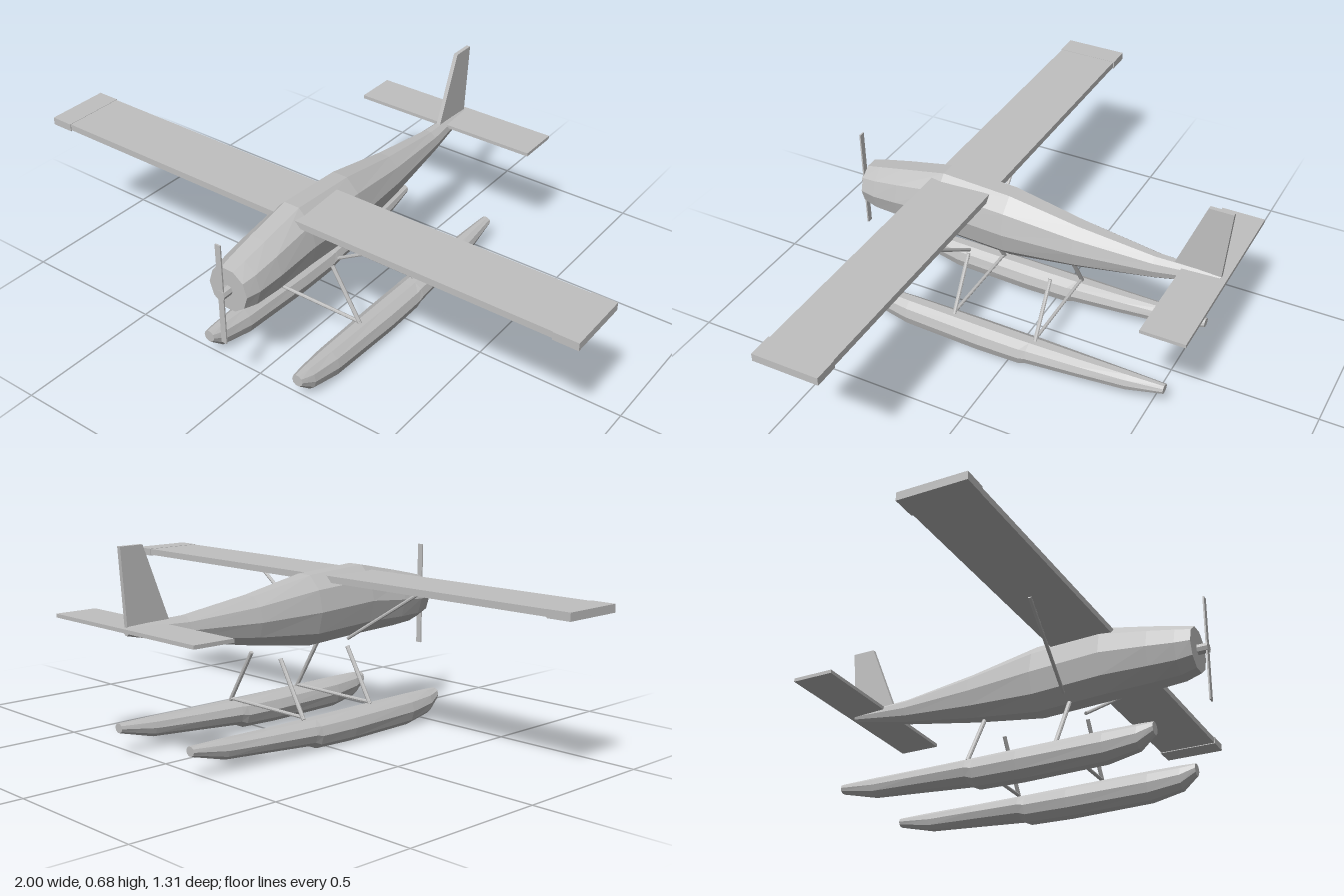
import * as THREE from 'three';

const SIDES = 10;

// Lofts ten-sided rings along z; each section is [z, top, bottom, halfWidth]
function loft(sections) {
  const pos = [];
  const index = [];
  for (const [z, top, bottom, half] of sections) {
    const cy = (top + bottom) / 2;
    const ry = (top - bottom) / 2 / Math.sin((72 * Math.PI) / 180);
    for (let i = 0; i < SIDES; i++) {
      const a = (i / SIDES) * Math.PI * 2;
      pos.push(Math.cos(a) * half, cy + Math.sin(a) * ry, z);
    }
  }
  const last = (sections.length - 1) * SIDES;
  for (let s = 0; s < last; s += SIDES) {
    for (let i = 0; i < SIDES; i++) {
      const j = (i + 1) % SIDES;
      index.push(s + i, s + j, s + SIDES + i, s + j, s + SIDES + j, s + SIDES + i);
    }
  }
  // End caps
  for (let i = 1; i < SIDES - 1; i++) {
    index.push(0, i + 1, i, last, last + i, last + i + 1);
  }
  // Sections run from tail (-z) to nose (+z), so the sides face outward
  const geo = new THREE.BufferGeometry();
  geo.setAttribute('position', new THREE.Float32BufferAttribute(pos, 3));
  geo.setIndex(index);
  const flat = geo.toNonIndexed();
  flat.computeVertexNormals();
  return flat;
}

// Round bar between two points
function bar(from, to, radius) {
  const a = new THREE.Vector3(...from);
  const dir = new THREE.Vector3(...to).sub(a);
  const geo = new THREE.CylinderGeometry(radius, radius, dir.length(), 8);
  const turn = new THREE.Quaternion().setFromUnitVectors(
    new THREE.Vector3(0, 1, 0), dir.clone().normalize());
  geo.applyQuaternion(turn);
  const mid = a.addScaledVector(dir, 0.5);
  return geo.translate(mid.x, mid.y, mid.z);
}

function block(x0, x1, y0, y1, z0, z1) {
  return new THREE.BoxGeometry(x1 - x0, y1 - y0, z1 - z0)
    .translate((x0 + x1) / 2, (y0 + y1) / 2, (z0 + z1) / 2);
}

export function createModel() {
  const model = new THREE.Group();
  model.name = 'floatplane';
  const grey = new THREE.MeshStandardMaterial({ color: 0xc0c0c0 });
  grey.name = 'light grey';
  grey.flatShading = true;

  const add = (name, geo) => {
    const mesh = new THREE.Mesh(geo, grey);
    mesh.name = name;
    model.add(mesh);
    return mesh;
  };

  // Fuselage, tail to nose
  add('fuselage', loft([
    [-0.635, 0.445, 0.415, 0.014],
    [-0.42, 0.45, 0.368, 0.038],
    [-0.16, 0.483, 0.325, 0.067],
    [0.08, 0.527, 0.294, 0.088],
    [0.32, 0.54, 0.306, 0.09],
    [0.48, 0.507, 0.311, 0.087],
    [0.57, 0.487, 0.317, 0.081],
    [0.62, 0.475, 0.332, 0.072],
  ]));

  // Wing with slightly larger tip caps
  add('wing', block(-0.92, 0.92, 0.498, 0.52, 0.146, 0.358));
  for (const s of [1, -1]) {
    add('wingTip', block(0.92, 1, 0.495, 0.521, 0.143, 0.361).translate(s > 0 ? 0 : -1.92, 0, 0));
  }

  // Tail surfaces
  add('tailplane', block(-0.34, 0.34, 0.428, 0.44, -0.655, -0.51));
  const finShape = new THREE.Shape([
    new THREE.Vector2(0.48, 0.44),
    new THREE.Vector2(0.635, 0.43),
    new THREE.Vector2(0.655, 0.68),
    new THREE.Vector2(0.575, 0.68),
  ]);
  const fin = new THREE.ExtrudeGeometry(finShape, { depth: 0.014, bevelEnabled: false });
  add('fin', fin.translate(0, 0, -0.007).rotateY(Math.PI / 2));

  // Propeller and hub
  add('propellerHub', bar([0, 0.403, 0.61], [0, 0.403, 0.655], 0.017));
  add('propeller', block(-0.01, 0.01, 0.225, 0.58, 0.648, 0.653));

  // Floats with a stepped keel
  const floatGeo = loft([
    [-0.545, 0.1, 0.07, 0.018],
    [-0.42, 0.1, 0.038, 0.031],
    [-0.25, 0.098, 0.027, 0.042],
    [-0.075, 0.098, 0.015, 0.051],
    [-0.05, 0.098, 0.003, 0.052],
    [0.1, 0.1, 0, 0.053],
    [0.38, 0.104, 0.005, 0.046],
    [0.485, 0.105, 0.025, 0.034],
    [0.533, 0.105, 0.065, 0.02],
  ]);
  for (const s of [1, -1]) {
    add('float', floatGeo).position.x = s * 0.178;
    add('wingStrut', bar([s * 0.085, 0.31, 0.2], [s * 0.38, 0.497, 0.23], 0.006));
    for (const z of [0.213, -0.089]) {
      add('floatStrut', bar([s * 0.07, 0.28, z], [s * 0.178, 0.1, z], 0.007));
    }
  }
  for (const z of [0.213, -0.089]) {
    add('floatCrossbar', bar([-0.178, 0.107, z], [0.178, 0.107, z], 0.006));
  }

  return model;
}
